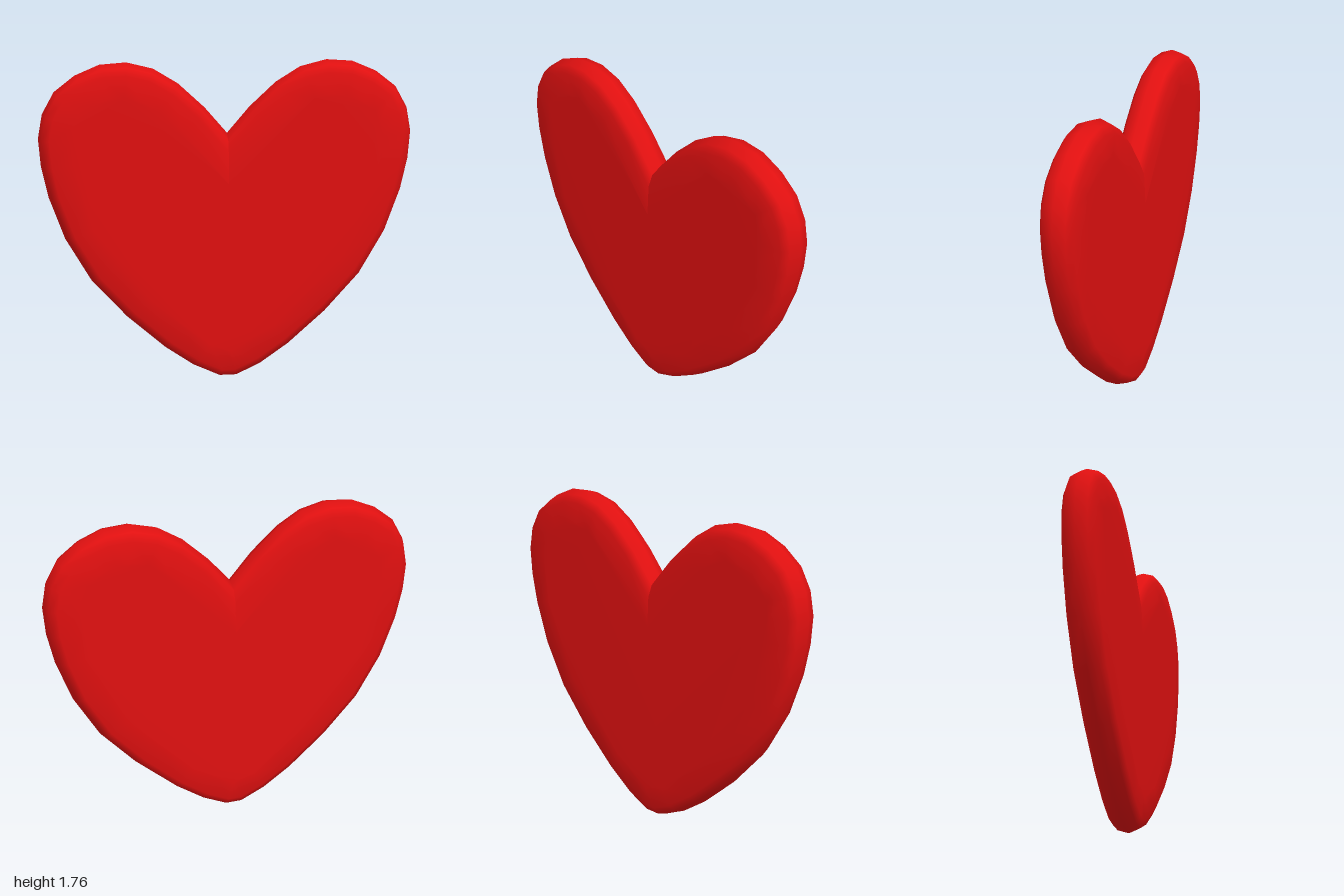
import * as THREE from 'three';

// Right half of the outline, from the notch clockwise to the tip
const HALF = [
  [0, 1.38], [0.12, 1.52], [0.26, 1.65], [0.39, 1.73], [0.53, 1.765], [0.67, 1.755],
  [0.8, 1.7], [0.91, 1.615], [0.975, 1.5], [1, 1.37], [0.99, 1.22], [0.955, 1.05],
  [0.875, 0.82], [0.74, 0.58], [0.55, 0.365], [0.345, 0.18], [0.19, 0.07], [0.05, 0.003],
];

// Rounded rim: [inset from outline, z], front to back
const FRONT_RIM = [[0.17, 0.095], [0.06, 0.086], [0.02, 0.06]];
const RIM = [...FRONT_RIM, [0, 0], ...FRONT_RIM.map(([d, z]) => [d, -z]).reverse()];

// Moves every outline point inwards along its mitred normal
function insetOutline(points, distance) {
  const count = points.length;
  return points.map((p, i) => {
    const before = p.clone().sub(points[(i + count - 1) % count]).normalize();
    const after = points[(i + 1) % count].clone().sub(p).normalize();
    const n1 = new THREE.Vector2(before.y, -before.x);
    const n2 = new THREE.Vector2(after.y, -after.x);
    const miter = n1.clone().add(n2).normalize();
    return p.clone().addScaledVector(miter, distance / miter.dot(n1));
  });
}

function heartGeometry() {
  const right = HALF.map(([x, y]) => new THREE.Vector2(x, y));
  const left = right.slice(1).reverse().map((p) => new THREE.Vector2(-p.x, p.y));
  const outline = [...right, ...left];
  const count = outline.length;
  const row = count + 1; // the notch is doubled so that its crease stays sharp
  const positions = [];
  const index = [];

  // Rings of the rim
  const rings = RIM.map(([d]) => insetOutline(outline, d));
  rings.forEach((ring, j) => {
    for (let i = 0; i < row; i++) positions.push(ring[i % count].x, ring[i % count].y, RIM[j][1]);
  });
  for (let j = 0; j < RIM.length - 1; j++) {
    for (let i = 0; i < count; i++) {
      const a = j * row + i;
      index.push(a, a + 1, a + row, a + 1, a + row + 1, a + row);
    }
  }

  // Flat front and back faces
  const last = (RIM.length - 1) * row;
  for (const [a, b, c] of THREE.ShapeUtils.triangulateShape(rings[0].slice(), [])) {
    const [p, q, r] = [rings[0][a], rings[0][b], rings[0][c]];
    const facesFront = q.clone().sub(p).cross(r.clone().sub(p)) > 0;
    const [u, v] = facesFront ? [b, c] : [c, b];
    index.push(a, u, v, last + a, last + v, last + u);
  }

  const geometry = new THREE.BufferGeometry();
  geometry.setAttribute('position', new THREE.Float32BufferAttribute(positions, 3));
  geometry.setIndex(index);
  geometry.computeVertexNormals();
  return geometry;
}

export function createModel() {
  const red = new THREE.MeshStandardMaterial({ color: 0xe01010 });
  red.name = 'red';
  const heart = new THREE.Mesh(heartGeometry(), red);
  heart.name = 'heart';
  const model = new THREE.Group();
  model.name = 'heartModel';
  model.add(heart);
  return model;
}
